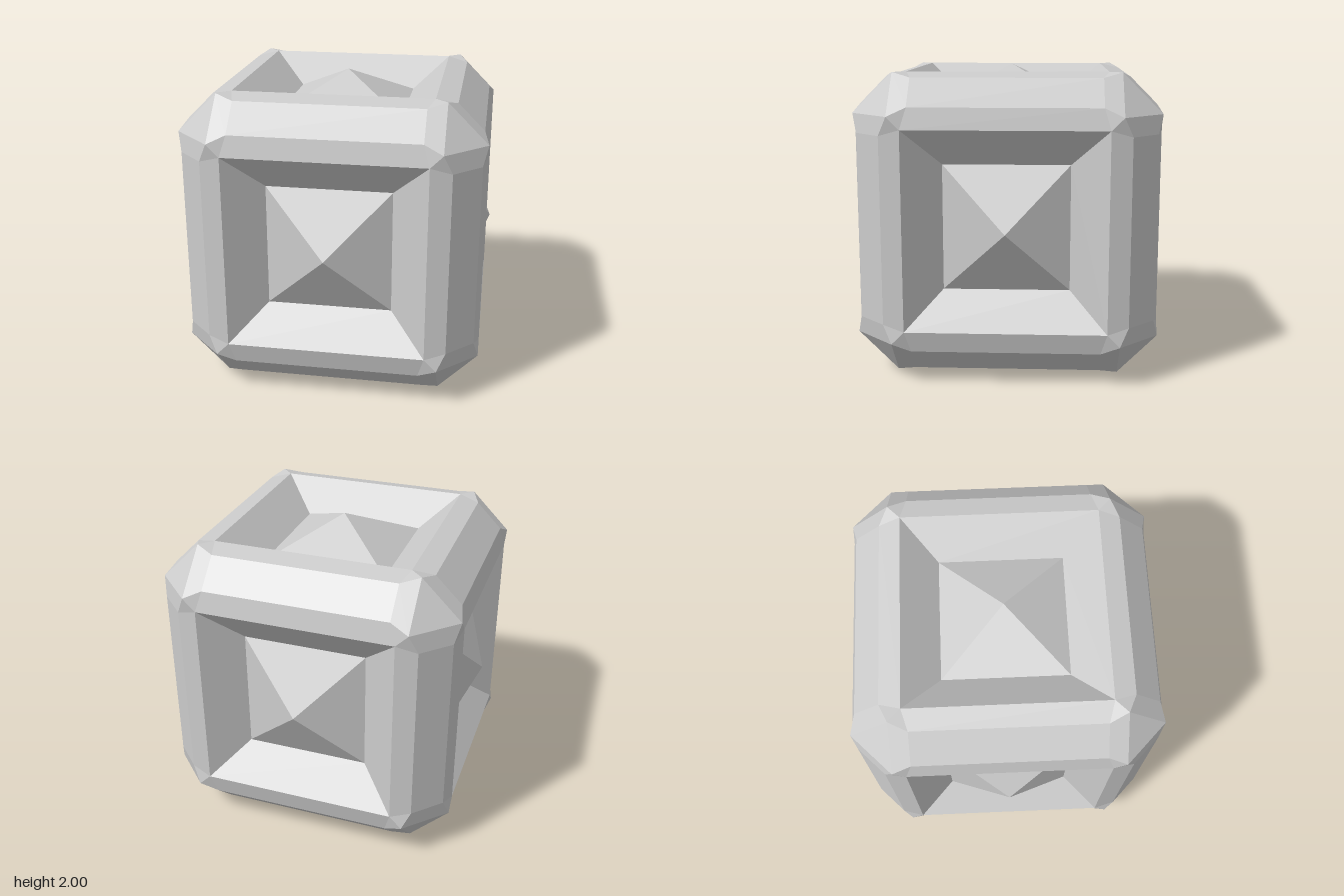
import * as THREE from 'three';

const material = new THREE.MeshStandardMaterial({ color: 0xcccccc, flatShading: true });

// Triangulates a list of convex polygons, each an array of [x, y, z] corners
function facets(polygons) {
  const positions = [];
  for (const p of polygons) {
    for (let i = 1; i < p.length - 1; i++) positions.push(...p[0], ...p[i], ...p[i + 1]);
  }
  const geometry = new THREE.BufferGeometry();
  geometry.setAttribute('position', new THREE.Float32BufferAttribute(positions, 3));
  geometry.computeVertexNormals();
  return geometry;
}

// Bevelled edge with the sloping recess walls on both sides: [y, z, half length]
function edgeGeometry() {
  const profile = [
    [0.405, 0.78, 0.405], [0.64, 0.976, 0.64], [0.775, 0.945, 0.6],
    [0.945, 0.775, 0.6], [0.976, 0.64, 0.64], [0.78, 0.405, 0.405],
  ];
  const polygons = [];
  for (let i = 0; i < profile.length - 1; i++) {
    const [y0, z0, h0] = profile[i];
    const [y1, z1, h1] = profile[i + 1];
    polygons.push([[-h0, y0, z0], [h0, y0, z0], [h1, y1, z1], [-h1, y1, z1]]);
  }
  return facets(polygons);
}

// Faceted corner cap with threefold symmetry
function cornerGeometry() {
  const rim = [0.64, 0.64, 0.976];
  const a = [0.72, 0.72, 0.976], b = [0.976, 0.72, 0.72], c = [0.72, 0.976, 0.72];
  const p = [0.775, 0.6, 0.945], q = [0.945, 0.6, 0.775], s = [0.6, 0.775, 0.945];
  const polygons = [[a, b, c]];
  const third = [[p, q, b, a], [rim, p, a], [rim, a, s]];
  for (let k = 0; k < 3; k++) {
    const cycle = (v) => [0, 1, 2].map((i) => v[(i + k) % 3]);
    for (const polygon of third) polygons.push(polygon.map(cycle));
  }
  return facets(polygons);
}

export function createModel() {
  const model = new THREE.Group();
  model.name = 'bevelledCube';
  const cube = new THREE.Group();
  cube.name = 'cubeParts';
  cube.position.y = 1;
  model.add(cube);

  const add = (name, geometry, x, y, z) => {
    const mesh = new THREE.Mesh(geometry, material);
    mesh.name = name;
    mesh.rotation.set(x, y, z, 'YXZ');
    cube.add(mesh);
  };

  const edge = edgeGeometry();
  const corner = cornerGeometry();
  // Low four-sided pyramid that fills the floor of each recess
  const pyramid = new THREE.ConeGeometry(0.405 * Math.SQRT2, 0.22, 4, 1, true);
  pyramid.rotateY(Math.PI / 4).translate(0, 0.89, 0);

  const quarter = Math.PI / 2;
  for (let k = 0; k < 4; k++) {
    const turn = k * quarter;
    add('topEdge', edge, 0, turn, 0);
    add('bottomEdge', edge, quarter, turn, 0);
    add('uprightEdge', edge, 0, turn, quarter);
    add('topCorner', corner, 0, turn, 0);
    add('bottomCorner', corner, quarter, turn, 0);
    add('sidePyramid', pyramid, quarter, turn, 0);
  }
  add('topPyramid', pyramid, 0, 0, 0);
  add('bottomPyramid', pyramid, Math.PI, 0, 0);
  return model;
}
